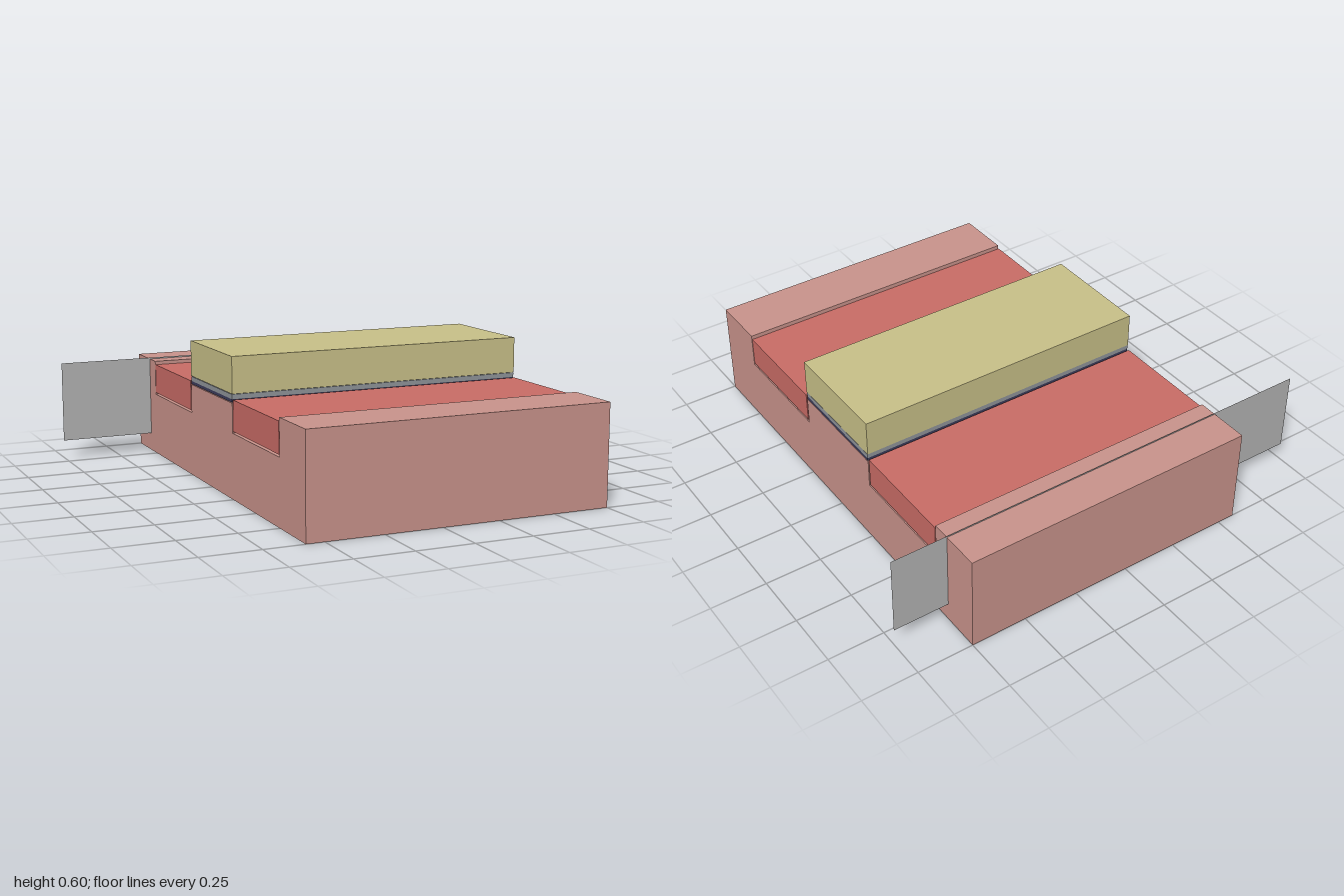
import * as THREE from 'three';

const X0 = -0.578, X1 = 0.75, LENGTH = X1 - X0;

const material = (name, color, side = THREE.FrontSide) => {
  const m = new THREE.MeshStandardMaterial({ color, side });
  m.name = name;
  return m;
};

export function createModel() {
  const group = new THREE.Group();
  const pink = material('dusty pink', 0xc9938b);
  const red = material('muted red', 0xc96c66);
  const khaki = material('khaki', 0xc8c088);
  const navy = material('dark navy', 0x3c3c5c);
  const slate = material('slate grey', 0x8f9499);
  const grey = material('plane grey', 0xb2b2b2, THREE.DoubleSide);

  const add = (name, geometry, mat) => {
    const mesh = new THREE.Mesh(geometry, mat);
    mesh.name = name;
    group.add(mesh);
    return mesh;
  };

  // Bar along x, given its z and y ranges
  const bar = (name, z0, z1, y0, y1, mat) =>
    add(name, new THREE.BoxGeometry(LENGTH, y1 - y0, z1 - z0), mat)
      .position.set((X0 + X1) / 2, (y0 + y1) / 2, (z0 + z1) / 2);

  // Substrate: section with two slots, extruded along x
  const half = [[0.25, 0.405], [0.25, 0.28], [0.75, 0.28], [0.75, 0.435], [1, 0.435], [1, 0]];
  const mirrored = half.map(([z, y]) => [-z, y]).reverse();
  const section = new THREE.Shape([...mirrored, ...half].map(([z, y]) => new THREE.Vector2(z, y)));
  const body = new THREE.ExtrudeGeometry(section, { depth: LENGTH, bevelEnabled: false });
  body.rotateY(-Math.PI / 2).translate(X1, 0, 0);
  add('substrate', body, pink);

  // Inlays sitting loosely in the slots
  bar('frontInlay', 0.258, 0.745, 0.289, 0.42, red);
  bar('backInlay', -0.745, -0.258, 0.289, 0.42, red);

  // Thin layers and block stacked on the central ridge
  bar('lowerLayer', -0.247, 0.247, 0.408, 0.421, navy);
  bar('upperLayer', -0.247, 0.247, 0.421, 0.441, slate);
  bar('topBlock', -0.25, 0.25, 0.443, 0.598, khaki);

  // Upright cross plane passing through the back of the substrate
  add('crossPlane', new THREE.PlaneGeometry(2, 0.36), grey).position.set(0, 0.261, -0.83);

  return group;
}
